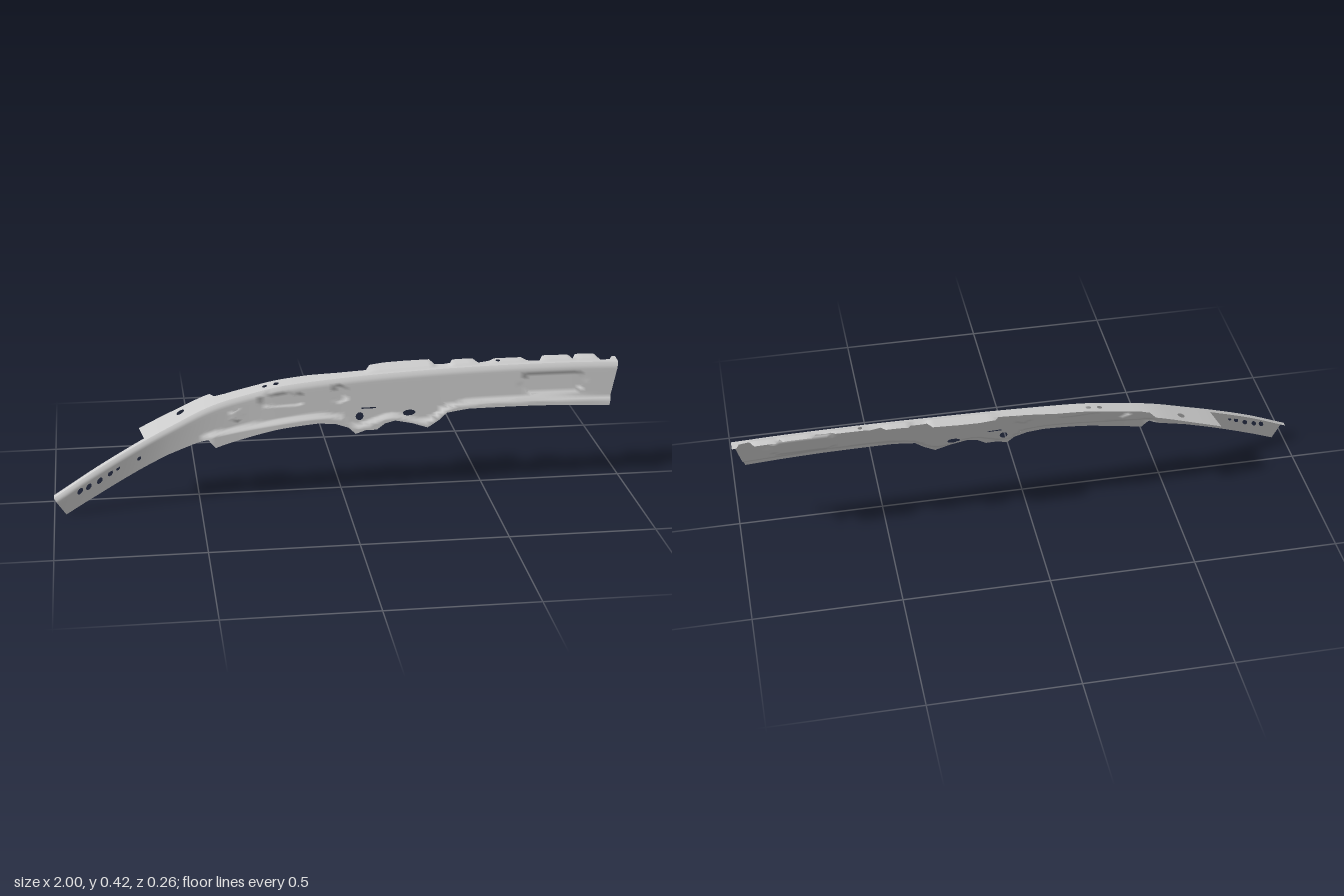
import * as THREE from 'three';

// Smooth interpolation through [x, value] stations
function stations(pts) {
  const slope = (i) => {
    const a = pts[Math.max(0, i - 1)], b = pts[Math.min(pts.length - 1, i + 1)];
    return (b[1] - a[1]) / (b[0] - a[0]);
  };
  return (x) => {
    let i = 0;
    while (i < pts.length - 2 && x > pts[i + 1][0]) i++;
    const [x0, v0] = pts[i], [x1, v1] = pts[i + 1], h = x1 - x0;
    const t = Math.min(1, Math.max(0, (x - x0) / h)), t2 = t * t, t3 = t2 * t;
    return (2 * t3 - 3 * t2 + 1) * v0 + (t3 - 2 * t2 + t) * h * slope(i)
      + (3 * t2 - 2 * t3) * v1 + (t3 - t2) * h * slope(i + 1);
  };
}
const step = THREE.MathUtils.smoothstep;

// Height and depth of the upper bend, sideways lean, and height of the lower bend
const yTop = stations([[-1, 0.062], [-0.85, 0.145], [-0.7, 0.218], [-0.6, 0.262], [-0.45, 0.322],
  [-0.3, 0.357], [-0.2, 0.375], [0, 0.391], [0.2, 0.401], [0.5, 0.409], [0.8, 0.409], [1, 0.404]]);
const zTop = stations([[-1, 0.132], [-0.85, 0.096], [-0.7, 0.057], [-0.6, 0.032], [-0.45, 0],
  [-0.3, -0.018], [0, -0.035], [0.3, -0.045], [0.6, -0.05], [1, -0.054]]);
const lean = stations([[-1, 0], [-0.85, 0.02], [-0.7, 0.06], [-0.45, 0.18], [0, 0.2], [1, 0.2]]);
const yFold = stations([[-0.5, 0.225], [-0.45, 0.232], [-0.3, 0.252], [-0.1, 0.272], [0, 0.265],
  [0.05, 0.232], [0.18, 0.262], [0.3, 0.238], [0.38, 0.28], [0.46, 0.295], [0.7, 0.297], [1, 0.283]]);
const BEND = 0.01;

// Pressed pockets: start x, end x, y, radius, depth
const pockets = [
  [0.68, 0.84, 0.345, 0.04, -0.009], [0, 0, 0.34, 0.035, -0.008],
  [-0.365, -0.365, 0.287, 0.024, 0.005], [-0.26, -0.15, 0.33, 0.025, -0.005],
];

// Side wall: (x, height relative to the upper bend) to space
function wallPoint(x, s) {
  const y = yTop(x) + s;
  let z = zTop(x) - lean(x) * s;
  z -= BEND * Math.max(0, 1 + s / 0.022) ** 2;
  z += 0.016 * step(yFold(x) - y, -0.008, 0.012) * step(x, -0.5, -0.45);
  for (const [a, b, py, r, depth] of pockets) {
    const dist = Math.hypot(x - Math.min(b, Math.max(a, x)), y - py);
    z += depth * (1 - step(dist, r * 0.65, r));
  }
  return new THREE.Vector3(x, y, z);
}

// Raised tabs along the rear edge of the upper flange
const tabs = [[0.11, 0.34], [0.405, 0.49], [0.55, 0.67], [0.73, 0.835], [0.85, 0.93]];

// Upper flange: (x, distance behind the bend) to space
function flangePoint(x, d) {
  let y = yTop(x) + 0.1 * (d - BEND);
  for (const [a, b] of tabs) {
    y += 0.006 * step(x, a - 0.012, a + 0.012) * (1 - step(x, b - 0.012, b + 0.012)) * step(d, 0.015, 0.035);
  }
  return new THREE.Vector3(x, y, zTop(x) - d);
}

// Cut a convex polygon into slices along one axis
function slice(polygon, axis, size) {
  const values = polygon.map((p) => p[axis]);
  const first = Math.floor(Math.min(...values) / size + 1e-6);
  const last = Math.ceil(Math.max(...values) / size - 1e-6);
  const keep = (pts, limit, sign) => pts.flatMap((p, i) => {
    const q = pts[(i + 1) % pts.length];
    const dp = sign * (p[axis] - limit), dq = sign * (q[axis] - limit);
    const part = dp >= 0 ? [p] : [];
    if (dp * dq < 0) {
      const t = dp / (dp - dq);
      part.push([p[0] + (q[0] - p[0]) * t, p[1] + (q[1] - p[1]) * t]);
    }
    return part;
  });
  const pieces = [];
  for (let k = first; k < last; k++) {
    const piece = keep(keep(polygon, k * size, 1), (k + 1) * size, -1);
    if (piece.length > 2) pieces.push(piece);
  }
  return pieces;
}

// Flat sheet with holes, cut by a fine grid, then bent by a rule
function sheet(name, outline, holes, bend) {
  const shape = new THREE.Shape(outline.map(([x, y]) => new THREE.Vector2(x, y)));
  shape.holes = holes;
  const flat = new THREE.ShapeGeometry(shape, 5).toNonIndexed().attributes.position;
  const positions = [], normals = [], e = 0.002;
  const addCorner = ([x, s]) => {
    const along = bend(x + e, s).sub(bend(x - e, s));
    const across = bend(x, s + e).sub(bend(x, s - e));
    positions.push(...bend(x, s));
    normals.push(...along.cross(across).normalize());
  };
  for (let i = 0; i < flat.count; i += 3) {
    const triangle = [0, 1, 2].map((k) => [flat.getX(i + k), flat.getY(i + k)]);
    for (const column of slice(triangle, 0, 0.02)) {
      for (const cell of slice(column, 1, 0.011)) {
        for (let k = 1; k < cell.length - 1; k++) [cell[0], cell[k], cell[k + 1]].forEach(addCorner);
      }
    }
  }
  const geo = new THREE.BufferGeometry();
  geo.setAttribute('position', new THREE.Float32BufferAttribute(positions, 3));
  geo.setAttribute('normal', new THREE.Float32BufferAttribute(normals, 3));
  const mesh = new THREE.Mesh(geo, new THREE.MeshStandardMaterial({ color: 0xcccccc, side: THREE.DoubleSide }));
  mesh.name = name;
  return mesh;
}

const fromBend = ([x, y]) => [x, y - yTop(x)];
const behindBend = ([x, z]) => [x, zTop(x) - z];
const round = ([x, y], r, ry = r) => new THREE.Path().absellipse(x, y, r, ry, 0, Math.PI * 2);
const wallCut = (...pts) => new THREE.Path(pts.map((p) => new THREE.Vector2(...fromBend(p))));

export function createModel() {
  const group = new THREE.Group();
  group.name = 'roofRail';

  // Side wall with the lower lip and its two hanging tabs
  const lower = [[0.96, 0.26], [0.7, 0.272], [0.45, 0.272], [0.375, 0.262], [0.345, 0.237], [0.305, 0.214],
    [0.25, 0.232], [0.19, 0.244], [0.155, 0.236], [0.125, 0.216], [0.085, 0.216], [0.05, 0.205], [0.025, 0.228],
    [-0.02, 0.243], [-0.08, 0.248], [-0.15, 0.243], [-0.3, 0.22], [-0.44, 0.185], [-0.465, 0.213],
    [-0.6, 0.172], [-0.7, 0.13], [-0.85, 0.057], [-0.96, 0]];
  const wallHoles = [
    wallCut([0.075, 0.285], [0.125, 0.285], [0.125, 0.311], [0.075, 0.311]),
    wallCut([0.25, 0.293], [0.3, 0.297], [0.303, 0.319], [0.247, 0.316]),
    wallCut([0.49, 0.348], [0.525, 0.337], [0.54, 0.342], [0.54, 0.36], [0.525, 0.362]),
    round(fromBend([0.243, 0.264]), 0.023, 0.01),
    ...[[0.067, 0.26, 0.014], [0.705, 0.338, 0.017], [0.815, 0.35, 0.007], [0.925, 0.345, 0.011],
      [0, 0.34, 0.008], [-0.365, 0.287, 0.007], [-0.26, 0.322, 0.005], [-0.158, 0.338, 0.006],
      [-0.91, 0.078, 0.01], [-0.88, 0.09, 0.01], [-0.842, 0.107, 0.01], [-0.805, 0.128, 0.009],
      [-0.778, 0.143, 0.007], [-0.705, 0.168, 0.007]].map(([x, y, r]) => round(fromBend([x, y]), r)),
  ];
  group.add(sheet('sideWall', [[-1, 0], [1, 0], ...lower.map(fromBend)], wallHoles, wallPoint));

  // Upper flange, rear edge given as [x, z]
  const rear = [[1, -0.11], [0.985, -0.108], [0.975, -0.085], [0.94, -0.08], [0.925, -0.12], [0.855, -0.12],
    [0.84, -0.09], [0.83, -0.115], [0.735, -0.115], [0.72, -0.087], [0.67, -0.09], [0.655, -0.106], [0.56, -0.106],
    [0.5, -0.09], [0.485, -0.116], [0.41, -0.116], [0.4, -0.098], [0.345, -0.095], [0.33, -0.13], [0.235, -0.132],
    [0.17, -0.13], [0.115, -0.12], [0.1, -0.092], [0, -0.092], [-0.1, -0.097], [-0.25, -0.088], [-0.4, -0.075],
    [-0.435, -0.078], [-0.45, -0.108], [-0.57, -0.092], [-0.7, -0.07]];
  const topHoles = [[-0.555, -0.055, 0.014], [-0.26, -0.06, 0.009], [-0.22, -0.062, 0.01], [0.57, -0.088, 0.008]]
    .map(([x, z, r]) => round(behindBend([x, z]), r));
  group.add(sheet('upperFlange', [[-1, BEND], [1, BEND], ...rear.map(behindBend), [-0.685, 0.03], [-1, 0.03]],
    topHoles, flangePoint));

  return group;
}
